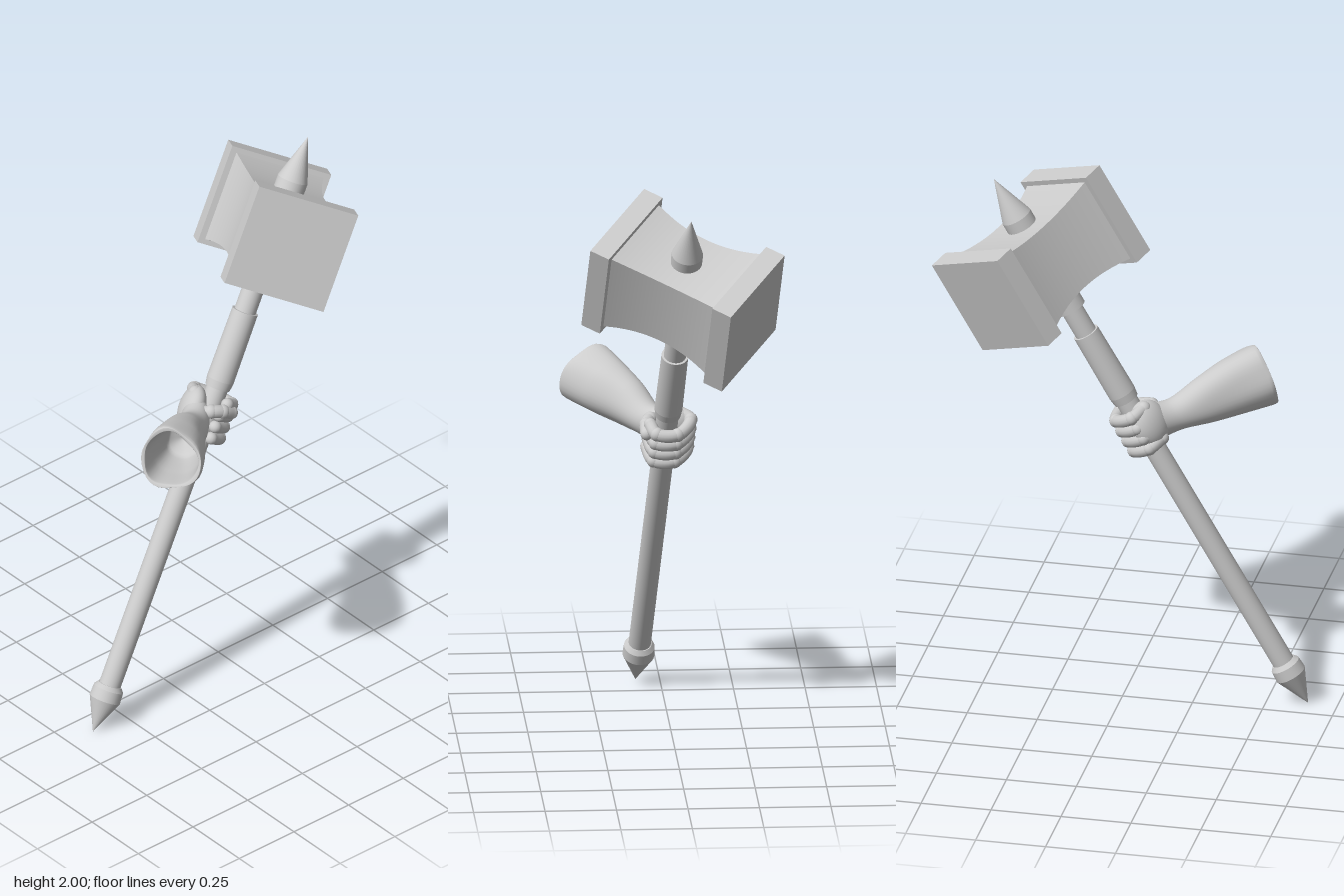
import * as THREE from 'three';
import { toCreasedNormals } from 'three/addons/utils/BufferGeometryUtils.js';

const V = (x, y, z) => new THREE.Vector3(x, y, z);
const mat = new THREE.MeshStandardMaterial({ color: 0xcccccc });
const matDouble = new THREE.MeshStandardMaterial({ color: 0xcccccc, side: THREE.DoubleSide });

function add(parent, name, geometry, material = mat) {
  const m = new THREE.Mesh(geometry, material);
  m.name = name;
  parent.add(m);
  return m;
}

// Surface through oval rings; stations are [centre, half width, half height]
function loft(stations, side, up, steps, ringShape) {
  const centres = new THREE.CatmullRomCurve3(stations.map(s => s[0]));
  const radii = new THREE.CatmullRomCurve3(stations.map(s => V(s[1], s[2], 0)));
  const n = 40, pos = [], idx = [];
  for (let i = 0; i <= steps; i++) {
    const c = centres.getPoint(i / steps), r = radii.getPoint(i / steps);
    for (let j = 0; j < n; j++) {
      const a = j / n * Math.PI * 2, k = ringShape(a, i / steps);
      const p = c.clone()
        .addScaledVector(side, Math.cos(a) * r.x * k)
        .addScaledVector(up, Math.sin(a) * r.y * k);
      pos.push(p.x, p.y, p.z);
      if (i < steps) {
        const q = i * n + j, s = i * n + (j + 1) % n;
        idx.push(q, s, s + n, q, s + n, q + n);
      }
    }
  }
  const g = new THREE.BufferGeometry();
  g.setAttribute('position', new THREE.Float32BufferAttribute(pos, 3));
  g.setIndex(idx);
  g.computeVertexNormals();
  return g;
}

// Bent finger around the shaft: points are [angle in degrees, radius, height]
function digit(parent, name, points, r) {
  const pts = points.map(([deg, R, t]) => {
    const a = deg * Math.PI / 180;
    return V(Math.cos(a) * R, t, Math.sin(a) * R);
  });
  const g = new THREE.Group();
  g.name = name;
  parent.add(g);
  add(g, name + 'Flesh', new THREE.TubeGeometry(new THREE.CatmullRomCurve3(pts), 28, r, 14));
  pts.forEach((p, i) => {
    const size = i === pts.length - 1 ? r : r * 1.1;
    add(g, name + 'Joint', new THREE.SphereGeometry(size, 16, 12)).position.copy(p);
  });
}

export function createModel() {
  const root = new THREE.Group();
  root.name = 'hammerAndArm';

  // Hammer frame: y along the shaft, x along the head
  const up = V(-0.0575, 0.873, -0.484).normalize();
  const along = V(0.835, 0.308, 0.457).normalize();
  const across = along.clone().cross(up).normalize();
  along.crossVectors(up, across);
  const hammer = new THREE.Group();
  hammer.name = 'hammer';
  hammer.quaternion.setFromRotationMatrix(new THREE.Matrix4().makeBasis(along, up, across));
  hammer.position.set(0.085, 0.003, 0.645);
  root.add(hammer);

  // Turned pieces: [name, start, end, start radius, end radius]
  const turned = [
    ['pommelTip', 0, 0.125, 0, 0.056],
    ['pommelCollar', 0.125, 0.165, 0.056, 0.054],
    ['pommelNeck', 0.165, 0.18, 0.054, 0.042],
    ['shaft', 0.15, 1.8, 0.039, 0.039],
    ['gripRing', 1.31, 1.34, 0.045, 0.049],
    ['grip', 1.34, 1.6, 0.049, 0.047],
    ['neckCollar', 1.705, 1.80, 0.053, 0.053],
    ['spikeBase', 2.02, 2.1, 0.055, 0.055],
    ['spike', 2.1, 2.262, 0.055, 0],
  ];
  for (const [name, a, b, r0, r1] of turned) {
    add(hammer, name, new THREE.CylinderGeometry(r1, r0, b - a, 32)).position.y = (a + b) / 2;
  }

  // Head: waisted block between two square end plates
  const head = new THREE.Group();
  head.name = 'head';
  head.position.y = 1.922;
  hammer.add(head);
  const body = new THREE.BoxGeometry(0.45, 2, 2, 20, 1, 1);
  const p = body.attributes.position;
  for (let i = 0; i < p.count; i++) {
    const k = 0.137 + 0.029 * (p.getX(i) / 0.215) ** 2;
    p.setXYZ(i, p.getX(i), p.getY(i) * k, p.getZ(i) * k);
  }
  add(head, 'headBody', toCreasedNormals(body, 0.5));
  for (const s of [-1, 1]) {
    add(head, 'endPlate', new THREE.BoxGeometry(0.075, 0.366, 0.374)).position.x = s * 0.2475;
  }

  // Fist: palm, four curled fingers and a thumb
  const fist = new THREE.Group();
  fist.name = 'fist';
  hammer.add(fist);
  const palm = add(fist, 'palm', new THREE.SphereGeometry(1, 32, 20));
  palm.scale.set(0.075, 0.085, 0.045);
  palm.position.set(-0.005, 1.21, 0.06);
  for (let i = 0; i < 4; i++) {
    const t = 1.14 + i * 0.043, end = i === 3 ? 315 : 335;
    digit(fist, 'finger', [[90, 0.07, t], [135, 0.086, t], [205, 0.068, t - 0.004],
      [270, 0.068, t - 0.004], [end, 0.06, t]], 0.0225);
  }
  digit(fist, 'thumb', [[60, 0.075, 1.2], [10, 0.073, 1.235], [-25, 0.07, 1.245],
    [-60, 0.078, 1.245]], 0.023);

  // Forearm in a loose sleeve: out to the cuff, over the lip and back inside
  const dir = V(0.52, 0.287, 0.806).normalize();
  const side = V(0.84, 0, -0.54).normalize();
  const armUp = dir.clone().cross(side).normalize();
  const stations = [
    [V(-0.02, 1.07, 0.085), 0.02, 0.03],
    [V(0.015, 1.073, 0.115), 0.05, 0.068],
    [V(0.065, 1.08, 0.17), 0.056, 0.06],
    [V(0.13, 1.115, 0.265), 0.074, 0.086],
    [V(0.2, 1.145, 0.35), 0.095, 0.104],
    [V(0.262, 1.172, 0.435), 0.111, 0.112],
    [V(0.27, 1.175, 0.447), 0.108, 0.109],
    [V(0.268, 1.174, 0.445), 0.098, 0.098],
    [V(0.215, 1.15, 0.37), 0.084, 0.088],
    [V(0.15, 1.12, 0.285), 0.058, 0.065],
    [V(0.125, 1.11, 0.255), 0.001, 0.001],
  ];
  // Cloth folds grow toward the cuff
  const folds = (a, v) => {
    const w = Math.min(1, Math.max(0, (v - 0.15) / 0.35));
    return 1 + w * (0.055 * Math.cos(3 * a + 0.6) + 0.025 * Math.sin(5 * a + v * 9));
  };
  add(root, 'sleevedForearm', loft(stations, side, armUp, 80, folds), matDouble);

  return root;
}
